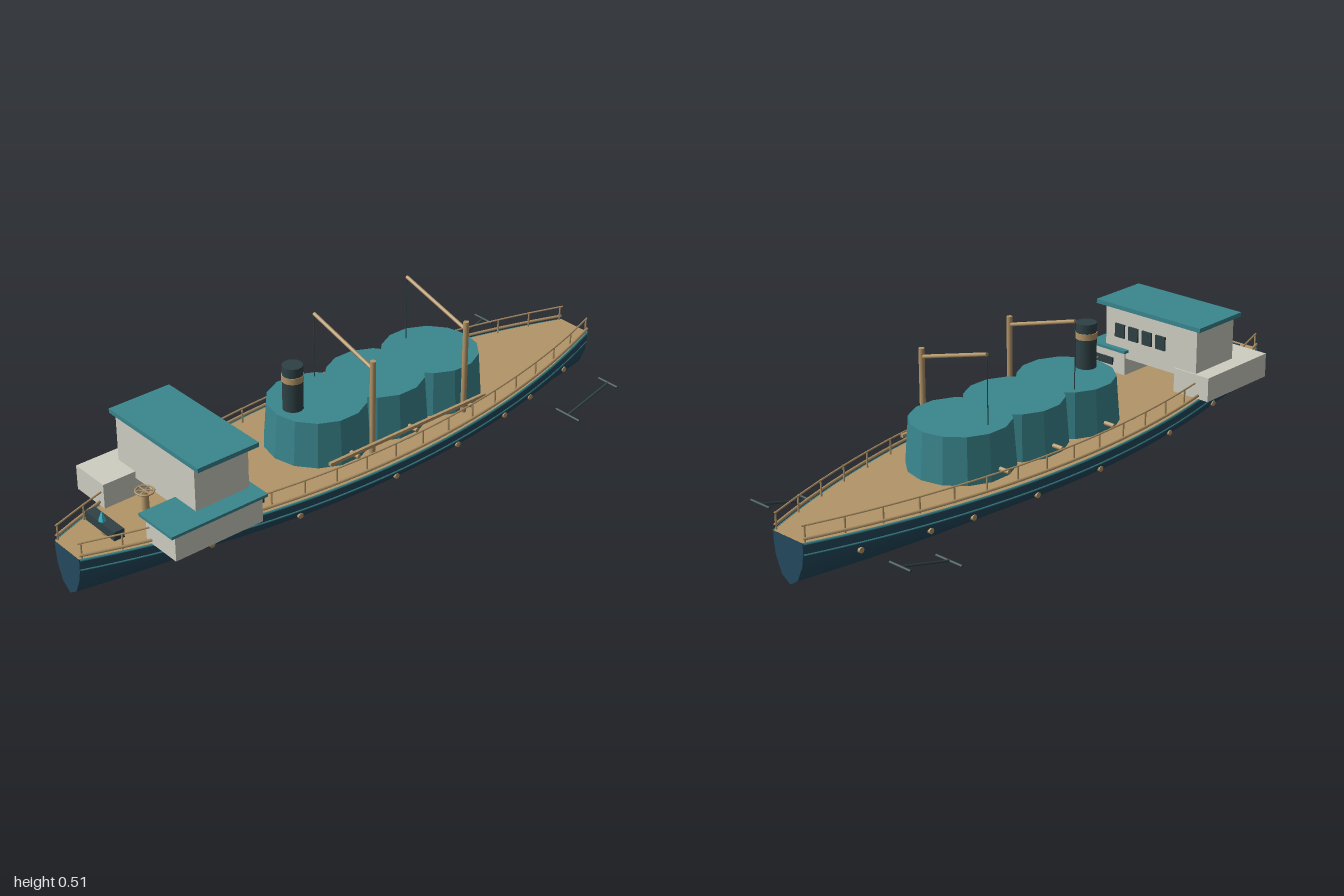
import * as THREE from 'three';

const mat = (name, color) => {
  const m = new THREE.MeshStandardMaterial({ color });
  m.name = name;
  return m;
};

// Half breadth of the deck at a station z
const breadth = (z) => 0.06 + 0.19 * (1 - z * z);

export function createModel() {
  const ship = new THREE.Group();
  ship.name = 'ship';
  const navy = mat('hullNavy', 0x244b60);
  const teal = mat('teal', 0x3a868e);
  const tan = mat('wood', 0xb39568);
  const cream = mat('cream', 0xcfcec2);
  const dark = mat('darkMetal', 0x2f4145);
  const cyan = mat('brightCyan', 0x2fb5c8);

  const add = (name, geo, material, x = 0, y = 0, z = 0) => {
    const m = new THREE.Mesh(geo, material);
    m.name = name;
    m.position.set(x, y, z);
    ship.add(m);
    return m;
  };
  // Box given by its extents
  const box = (name, material, x0, x1, y0, y1, z0, z1) =>
    add(name, new THREE.BoxGeometry(x1 - x0, y1 - y0, z1 - z0), material,
      (x0 + x1) / 2, (y0 + y1) / 2, (z0 + z1) / 2);
  // Round bar between two points
  const bar = (name, material, a, b, r, sides = 8) => {
    const p = new THREE.Vector3(...a), q = new THREE.Vector3(...b);
    const m = add(name, new THREE.CylinderGeometry(r, r, p.distanceTo(q), sides), material);
    m.position.copy(p).add(q).multiplyScalar(0.5);
    m.quaternion.setFromUnitVectors(new THREE.Vector3(0, 1, 0), q.sub(p).normalize());
    return m;
  };
  // Rail following the deck edge
  const edgeRail = (name, material, side, scale, y, r) => {
    const pts = [];
    for (let i = 0; i <= 20; i++) {
      const z = -1 + i / 10;
      pts.push(new THREE.Vector3(side * breadth(z) * scale, y, z * 0.998));
    }
    add(name, new THREE.TubeGeometry(new THREE.CatmullRomCurve3(pts), 40, r, 6), material);
  };

  // Hull lofted from one cross-section scaled by the breadth
  const half = [[1, 0.145], [0.985, 0.11], [0.9, 0.075], [0.54, 0.025]];
  const section = [...half, [0, 0.003], ...half.map(([x, y]) => [-x, y]).reverse()];
  const n = section.length, stations = 40, pos = [], idx = [];
  for (let i = 0; i <= stations; i++) {
    const z = -1 + (2 * i) / stations;
    for (const [x, y] of section) pos.push(x * breadth(z), y, z);
  }
  for (let i = 0; i < stations; i++) {
    for (let j = 0; j < n - 1; j++) {
      const a = i * n + j, b = a + n;
      idx.push(a, b, a + 1, b, b + 1, a + 1);
    }
  }
  const hull = new THREE.BufferGeometry();
  hull.setAttribute('position', new THREE.Float32BufferAttribute(pos, 3));
  hull.setIndex(idx);
  hull.computeVertexNormals();
  add('hull', hull, navy);
  const end = new THREE.Shape(section.map(([x, y]) => new THREE.Vector2(x * breadth(1), y)));
  add('bowPlate', new THREE.ShapeGeometry(end), navy, 0, 0, 1);
  add('sternPlate', new THREE.ShapeGeometry(end), navy, 0, 0, -1).rotation.y = Math.PI;

  // Deck
  const outline = [];
  for (let i = 0; i <= 40; i++) outline.push(new THREE.Vector2(breadth(-1 + i / 20), -1 + i / 20));
  for (let i = 40; i >= 0; i--) outline.push(new THREE.Vector2(-breadth(-1 + i / 20), -1 + i / 20));
  const deck = new THREE.ShapeGeometry(new THREE.Shape(outline));
  deck.rotateX(-Math.PI / 2);
  add('deck', deck, tan, 0, 0.146, 0);

  // Gunwales, rub rails, railings and portholes on both sides
  for (const s of [-1, 1]) {
    edgeRail('gunwale', teal, s, 1.005, 0.143, 0.004);
    edgeRail('rubRail', teal, s, 0.985, 0.11, 0.003);
    edgeRail('toeRail', tan, s, 0.99, 0.158, 0.005);
    edgeRail('handRail', tan, s, 0.92, 0.195, 0.003);
    for (let i = 0; i <= 18; i++) {
      const z = -0.99 + i * 0.11, x = s * breadth(z) * 0.92;
      bar('railPost', tan, [x, 0.146, z], [x, 0.197, z], 0.003, 6);
    }
    for (const z of [-0.84, -0.63, -0.49, -0.26, 0, 0.35, 0.63]) {
      const x = s * breadth(z);
      bar('porthole', tan, [x * 0.88, 0.085, z], [x * 0.93 + s * 0.006, 0.085, z], 0.009, 10);
    }
    // Anchors standing off the stern quarters
    const x = s * 0.285;
    bar('anchorShank', dark, [x, 0.053, -0.68], [x, 0.103, -0.86], 0.004);
    bar('anchorArms', dark, [x - 0.05, 0.053, -0.68], [x + 0.05, 0.053, -0.68], 0.0045);
    bar('anchorStock', dark, [x - 0.04, 0.103, -0.86], [x + 0.04, 0.103, -0.86], 0.0045);
  }

  // Three tapered, faceted deckhouse drums with side fittings
  for (const z of [-0.345, -0.12, 0.11]) {
    const g = new THREE.CylinderGeometry(0.152, 0.163, 0.145, 14).toNonIndexed();
    g.computeVertexNormals();
    add('deckDrum', g, teal, 0, 0.2185, z);
    for (const s of [-1, 1]) bar('drumFitting', tan, [s * 0.14, 0.175, z], [s * 0.192, 0.175, z], 0.007);
  }
  box('gangplank', tan, 0.185, 0.195, 0.188, 0.198, -0.4, 0.22);

  // Funnel with band
  add('funnel', new THREE.CylinderGeometry(0.032, 0.032, 0.145, 14), dark, 0, 0.3625, 0.2);
  add('funnelBand', new THREE.CylinderGeometry(0.034, 0.034, 0.02, 14), tan, 0, 0.395, 0.2);

  // Two derricks
  for (const z of [-0.335, 0.035]) {
    bar('mast', tan, [0.165, 0.146, z], [0.165, 0.457, z], 0.009, 10);
    bar('boom', tan, [0.165, 0.43, z], [-0.1, 0.505, z], 0.006);
    bar('hoistCable', dark, [-0.1, 0.505, z], [-0.1, 0.29, z], 0.0015, 6);
  }

  // Bridge and wing cabins
  box('bridge', cream, -0.185, 0.185, 0.203, 0.372, 0.51, 0.695);
  box('bridgeRoof', teal, -0.21, 0.21, 0.372, 0.386, 0.49, 0.70);
  box('rightWing', cream, -0.238, -0.102, 0.146, 0.225, 0.505, 0.805);
  box('leftWing', cream, 0.102, 0.238, 0.146, 0.228, 0.505, 0.805);
  box('leftWingRoof', teal, 0.09, 0.245, 0.226, 0.235, 0.49, 0.82);
  for (let i = 0; i < 4; i++) {
    const x = -0.083 + i * 0.055;
    box('bridgeWindow', dark, x - 0.019, x + 0.019, 0.295, 0.34, 0.453, 0.459);
  }
  box('wingWindow', dark, 0.13, 0.21, 0.183, 0.207, 0.476, 0.482);

  // Capstan with hand wheel
  add('capstanBase', new THREE.CylinderGeometry(0.012, 0.02, 0.02, 12), tan, 0, 0.156, 0.735);
  add('capstanColumn', new THREE.CylinderGeometry(0.01, 0.012, 0.07, 12), tan, 0, 0.192, 0.735);
  add('capstanWheel', new THREE.TorusGeometry(0.027, 0.003, 6, 18), tan, 0, 0.228, 0.735)
    .rotation.x = Math.PI / 2;
  for (let i = 0; i < 3; i++) {
    const c = 0.027 * Math.cos((i * Math.PI) / 3), d = 0.027 * Math.sin((i * Math.PI) / 3);
    bar('wheelSpoke', tan, [-c, 0.228, 0.735 - d], [c, 0.228, 0.735 + d], 0.002, 6);
  }

  // Foredeck chest with lamp
  add('chestFoot', new THREE.CylinderGeometry(0.012, 0.012, 0.018, 10), tan, 0, 0.155, 0.873);
  box('chest', dark, -0.071, 0.071, 0.163, 0.191, 0.856, 0.89);
  const lamp = new THREE.CylinderGeometry(0.002, 0.012, 0.028, 6).toNonIndexed();
  lamp.computeVertexNormals();
  add('lamp', lamp, cyan, 0, 0.205, 0.88);

  return ship;
}
